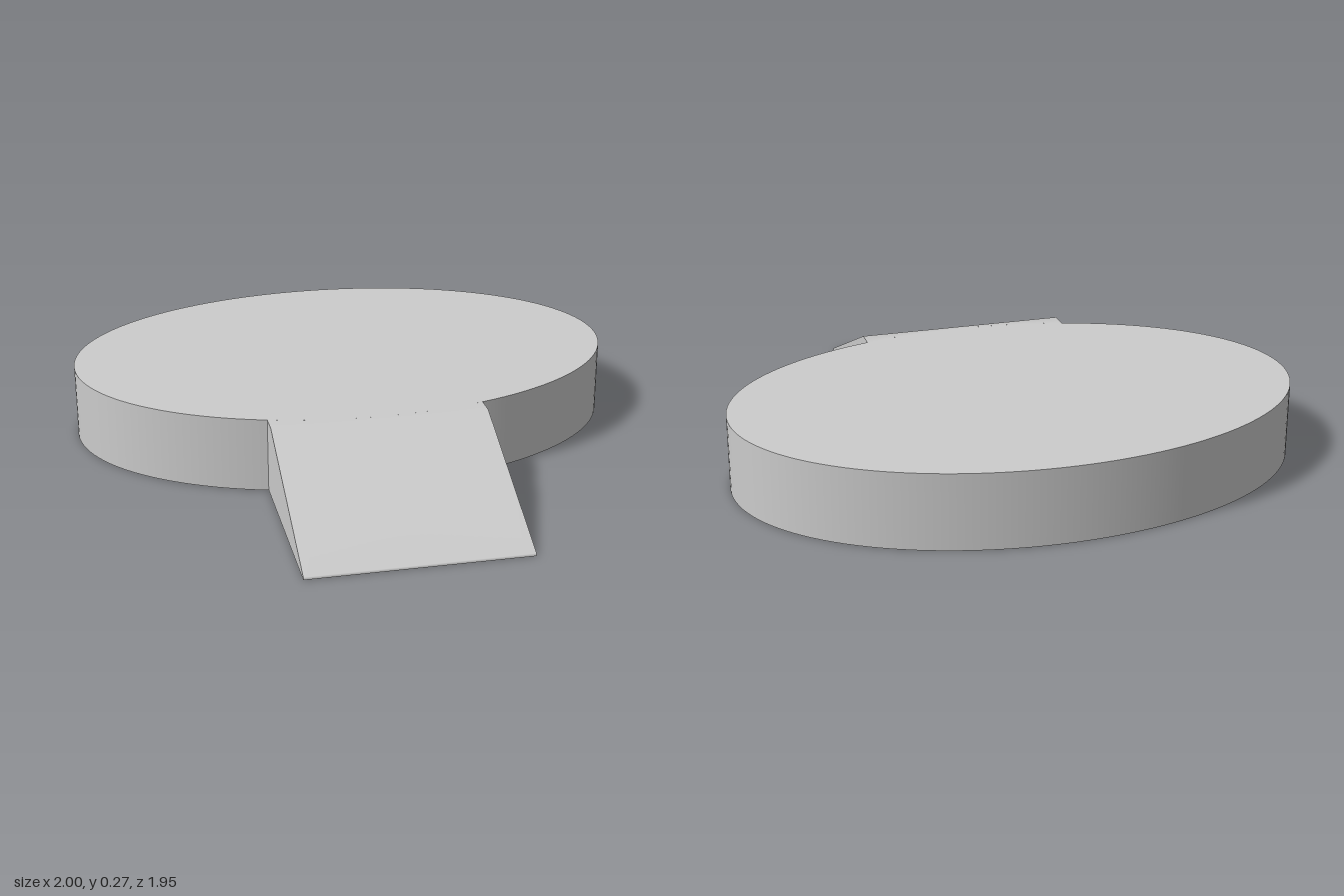
import * as THREE from 'three';

const H = 0.267;            // platform height
const RZ = 0.67;            // short radius of the oval (long radius is 1)
const CZ = -0.305;          // oval centre in z
const HALF = 0.383;         // half width of the ramp
const CREST = 0.385, TIP = 0.975, LIP = 0.01;

// z of the oval's front rim at a given x
const rimZ = (x) => CZ + RZ * Math.sqrt(1 - x * x);

// Ramp skin: rim -> crest -> tip -> ground, swept across x
function rampSkin() {
  const cols = 24, pos = [], idx = [];
  for (let i = 0; i <= cols; i++) {
    const x = -HALF + (2 * HALF * i) / cols;
    pos.push(x, H, rimZ(x), x, H, CREST, x, LIP, TIP, x, 0, TIP);
  }
  for (let i = 0; i < cols; i++) {
    for (let j = 0; j < 3; j++) {
      const a = i * 4 + j, b = a + 4;
      idx.push(a, a + 1, b, b, a + 1, b + 1);
    }
  }
  const g = new THREE.BufferGeometry();
  g.setAttribute('position', new THREE.Float32BufferAttribute(pos, 3));
  g.setIndex(idx);
  g.computeVertexNormals();
  return g;
}

// Flat side of the ramp, drawn in (z, y) and turned to face sideways
function rampSide() {
  const z0 = rimZ(HALF);
  const profile = [[z0, 0], [TIP, 0], [TIP, LIP], [CREST, H], [z0, H]];
  const shape = new THREE.Shape(profile.map(([z, y]) => new THREE.Vector2(z, y)));
  return new THREE.ShapeGeometry(shape).rotateY(-Math.PI / 2);
}

export function createModel() {
  const group = new THREE.Group();
  const solid = new THREE.MeshStandardMaterial({ color: 0xcccccc });
  const thin = new THREE.MeshStandardMaterial({ color: 0xcccccc, side: THREE.DoubleSide });

  const add = (name, geometry, material, parent = group) => {
    const mesh = new THREE.Mesh(geometry, material);
    mesh.name = name;
    parent.add(mesh);
    return mesh;
  };

  // Oval platform
  const disc = new THREE.CylinderGeometry(1, 1, H, 128);
  disc.scale(1, 1, RZ);
  disc.translate(0, H / 2, CZ);
  add('ovalPlatform', disc, solid);

  // Ramp, open underneath
  const ramp = new THREE.Group();
  ramp.name = 'ramp';
  group.add(ramp);
  add('rampSurface', rampSkin(), thin, ramp);
  add('rampLeftSide', rampSide(), thin, ramp).position.x = HALF;
  add('rampRightSide', rampSide(), thin, ramp).position.x = -HALF;

  return group;
}
